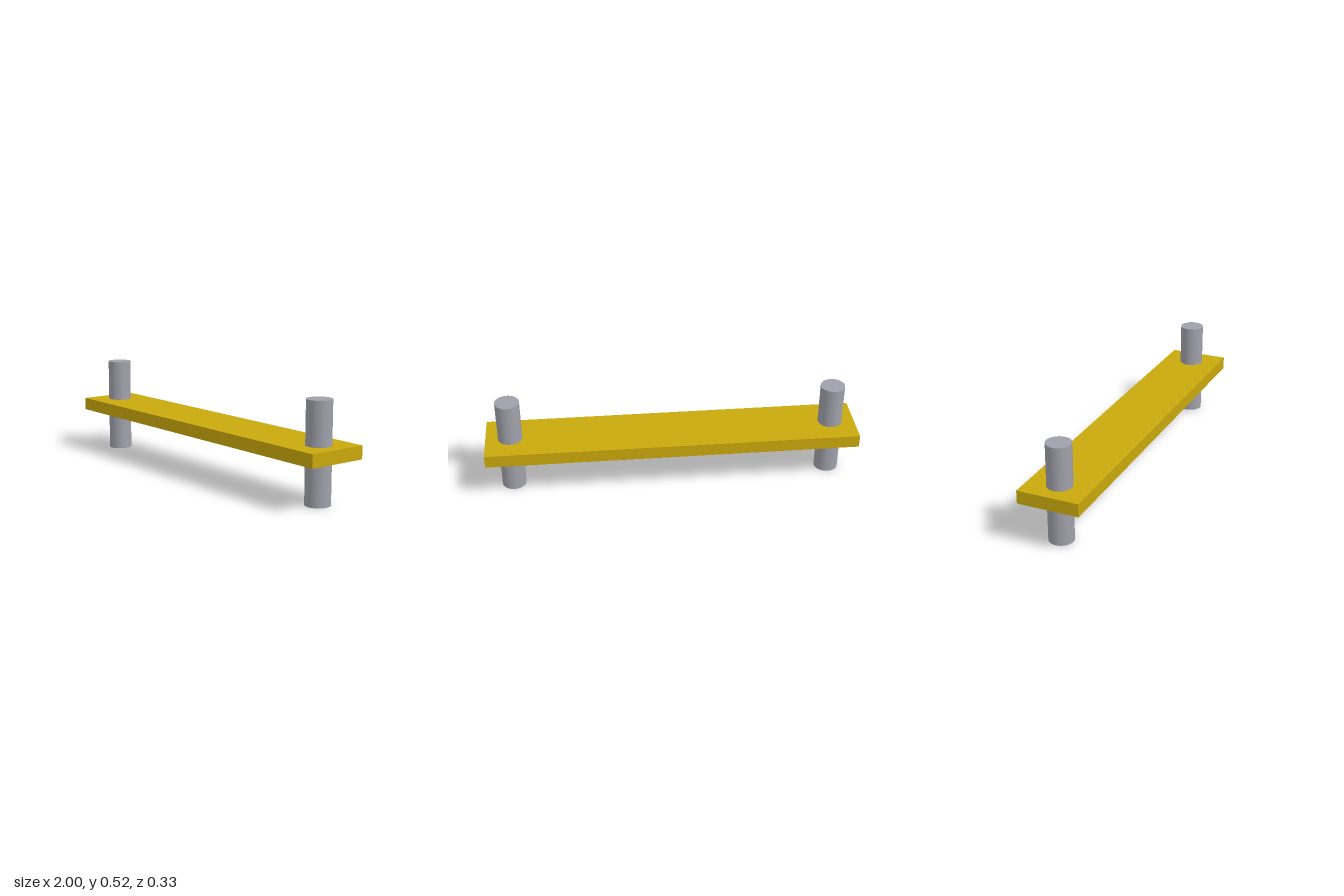
import * as THREE from 'three';

const PLANK = { length: 2, thickness: 0.069, depth: 0.326, y: 0.262 };
const PIN = { radius: 0.065, height: 0.523, x: 0.868 };

export function createModel() {
  const model = new THREE.Group();
  model.name = 'plankWithPins';

  const yellow = new THREE.MeshStandardMaterial({ color: 0xc9a80c });
  const steel = new THREE.MeshStandardMaterial({ color: 0xa0a0aa });

  // Flat plank at mid height
  const plank = new THREE.Mesh(
    new THREE.BoxGeometry(PLANK.length, PLANK.thickness, PLANK.depth), yellow);
  plank.name = 'plank';
  plank.position.y = PLANK.y;
  model.add(plank);

  // Round pin through each end of the plank
  const pinGeometry = new THREE.CylinderGeometry(PIN.radius, PIN.radius, PIN.height, 48);
  for (const [name, side] of [['leftPin', 1], ['rightPin', -1]]) {
    const pin = new THREE.Mesh(pinGeometry, steel);
    pin.name = name;
    pin.position.set(side * PIN.x, PIN.height / 2, 0);
    model.add(pin);
  }

  return model;
}
